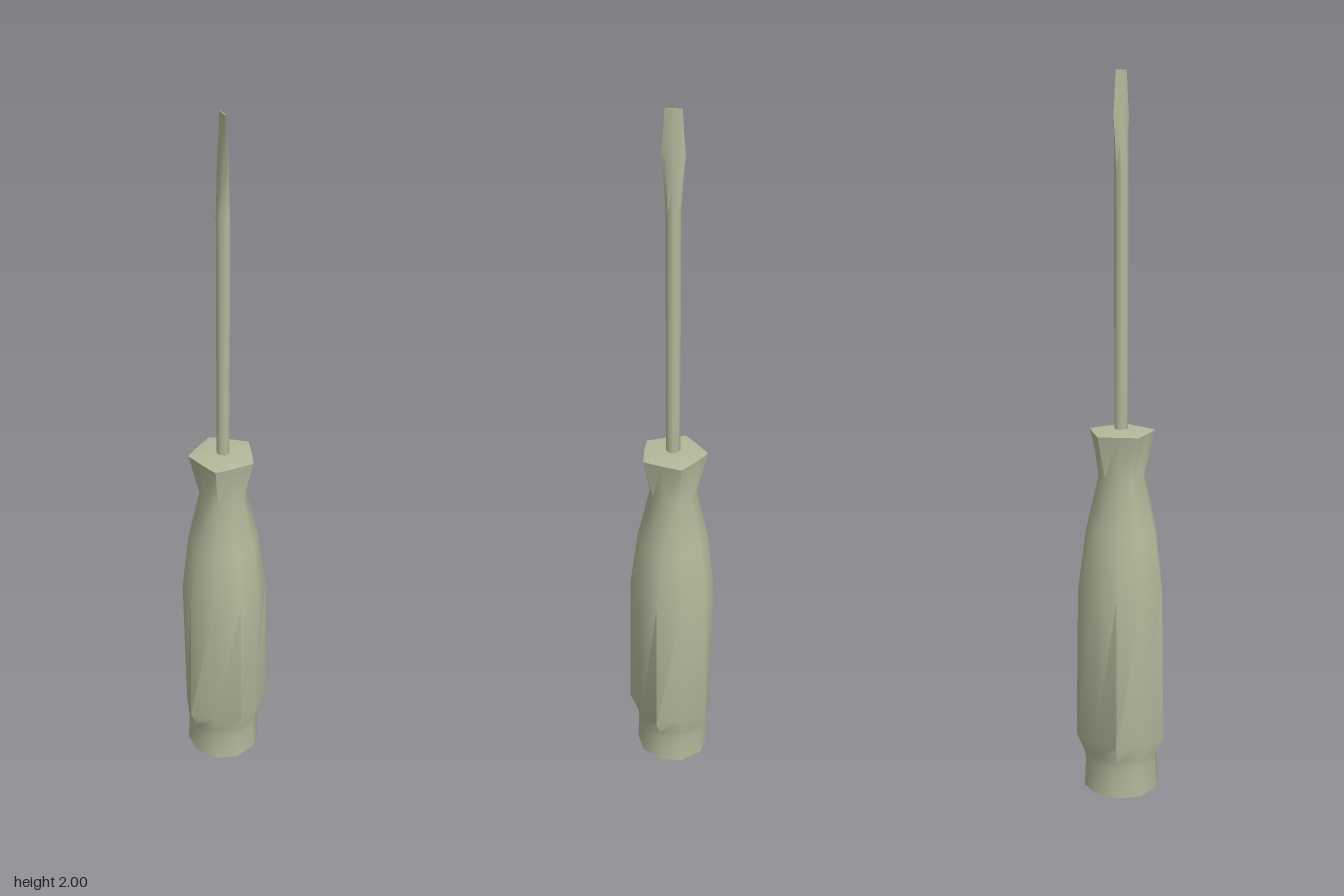
import * as THREE from 'three';
import { toCreasedNormals } from 'three/addons/utils/BufferGeometryUtils.js';

const AXIS_Z = -0.008;

// Skins a stack of rings (arrays of Vector3, counter-clockwise seen from above, bottom to top) and closes both ends.
function loft(rings, bottomY, topY, crease) {
  const pos = [];
  const tri = (...pts) => pts.forEach((p) => pos.push(p.x, p.y, p.z));
  const n = rings[0].length;
  const bottom = new THREE.Vector3(0, bottomY, 0);
  const top = new THREE.Vector3(0, topY, 0);
  const last = rings[rings.length - 1];
  for (let j = 0; j < n; j++) {
    const k = (j + 1) % n;
    tri(bottom, rings[0][k], rings[0][j]);
    for (let i = 0; i + 1 < rings.length; i++) {
      const a = rings[i], b = rings[i + 1];
      tri(a[j], a[k], b[k]);
      tri(a[j], b[k], b[j]);
    }
    tri(top, last[j], last[k]);
  }
  const geometry = new THREE.BufferGeometry();
  geometry.setAttribute('position', new THREE.Float32BufferAttribute(pos, 3));
  return toCreasedNormals(geometry, crease);
}

// Ring of n points; size(j) gives the x and z radii of point j.
function ring(n, y, size) {
  return Array.from({ length: n }, (_, j) => {
    const a = (j / n) * Math.PI * 2;
    const [rx, rz] = size(j);
    return new THREE.Vector3(Math.sin(a) * rx, y, Math.cos(a) * rz);
  });
}

export function createModel() {
  const group = new THREE.Group();
  group.name = 'screwdriver';
  const material = new THREE.MeshStandardMaterial({ color: 0xb4b89b });

  const add = (name, geometry) => {
    const mesh = new THREE.Mesh(geometry, material);
    mesh.name = name;
    mesh.position.z = AXIS_Z;
    group.add(mesh);
  };

  // Handle: ten-sided, with alternating radii [y, ridge, valley] that turn into a pentagon at the collar
  const handle = [
    [0.045, 0.106, 0.106],
    [0.13, 0.102, 0.102],
    [0.155, 0.107, 0.104],
    [0.205, 0.128, 0.109],
    [0.63, 0.121, 0.115],
    [0.80, 0.098, 0.097],
    [0.95, 0.063, 0.064],
    [1.07, 0.077, 0.093],
  ].map(([y, ridge, valley]) => ring(10, y, (j) => (j % 2 ? [valley, valley] : [ridge, ridge])));
  add('handle', loft(handle, 0, 1.08, THREE.MathUtils.degToRad(48)));

  // Shaft and blade: round rod that flares in z while it thins to an edge in x [y, rx, rz]
  const shaft = [
    [1.06, 0.018, 0.019],
    [1.75, 0.018, 0.019],
    [1.82, 0.013, 0.023],
    [1.89, 0.0085, 0.029],
    [1.94, 0.005, 0.025],
    [2.0, 0.0015, 0.021],
  ].map(([y, rx, rz]) => ring(8, y, () => [rx, rz]));
  add('shaftAndBlade', loft(shaft, 1.06, 2, THREE.MathUtils.degToRad(50)));

  return group;
}
